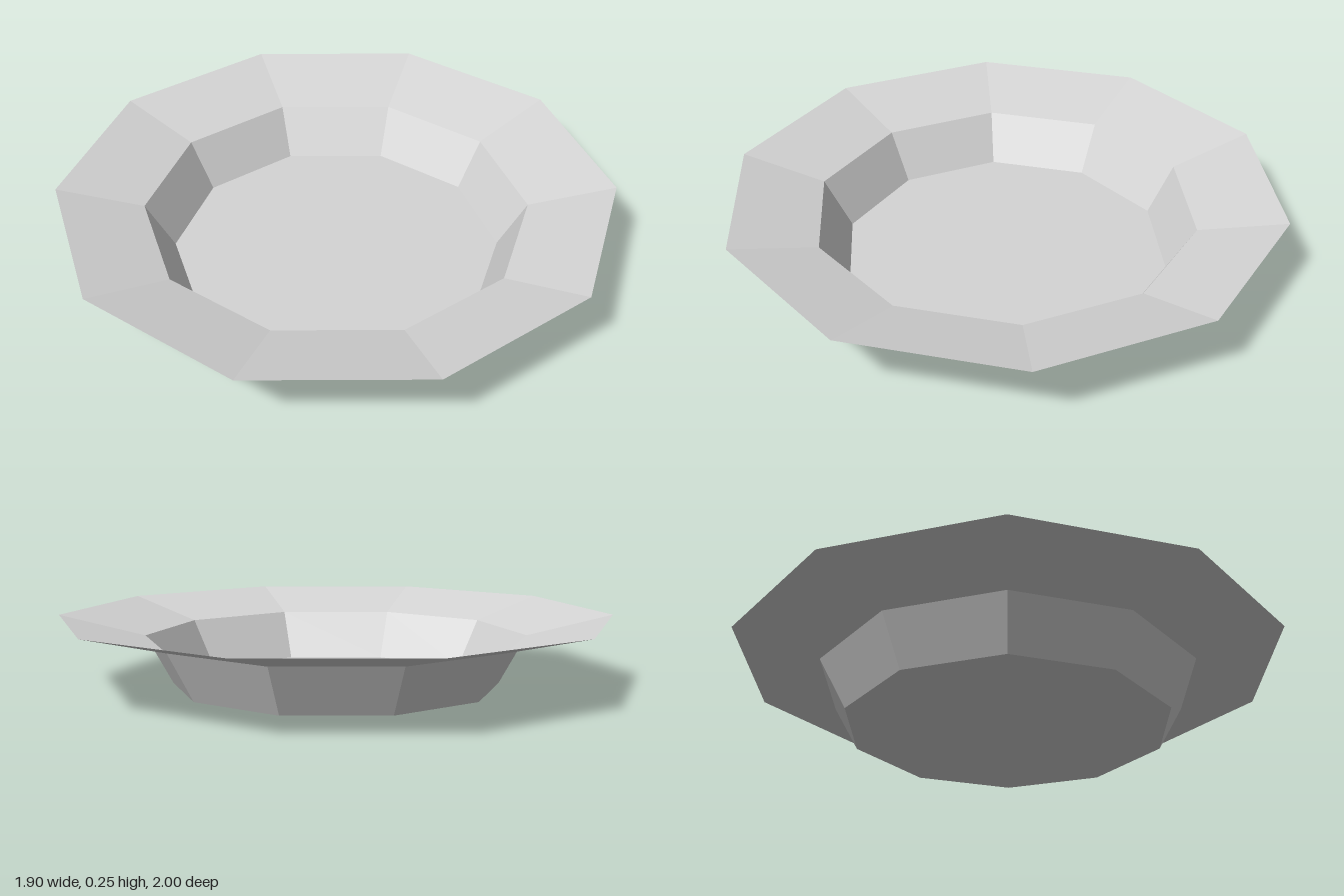
import * as THREE from 'three';

const SIDES = 10;

export function createModel() {
  const plate = new THREE.Group();
  plate.name = 'plate';

  const ceramic = new THREE.MeshStandardMaterial({
    color: 0xd4d4d4, flatShading: true, side: THREE.DoubleSide,
  });
  ceramic.name = 'pale grey ceramic';

  // Sloping ten-sided ring from one radius and height up to another
  function ring(name, r0, y0, r1, y1) {
    const geometry = new THREE.CylinderGeometry(r1, r0, y1 - y0, SIDES, 1, true);
    geometry.translate(0, (y0 + y1) / 2, 0);
    const mesh = new THREE.Mesh(geometry, ceramic);
    mesh.name = name;
    plate.add(mesh);
  }

  // Flat floor, with a corner pointing to the front
  const floorGeometry = new THREE.CircleGeometry(0.592, SIDES, Math.PI / 2);
  floorGeometry.rotateX(-Math.PI / 2);
  const floor = new THREE.Mesh(floorGeometry, ceramic);
  floor.name = 'floor';
  plate.add(floor);

  // Steep wall and wide shallow rim
  ring('wall', 0.592, 0, 0.69, 0.175);
  ring('rim', 0.69, 0.175, 1, 0.25);

  return plate;
}
